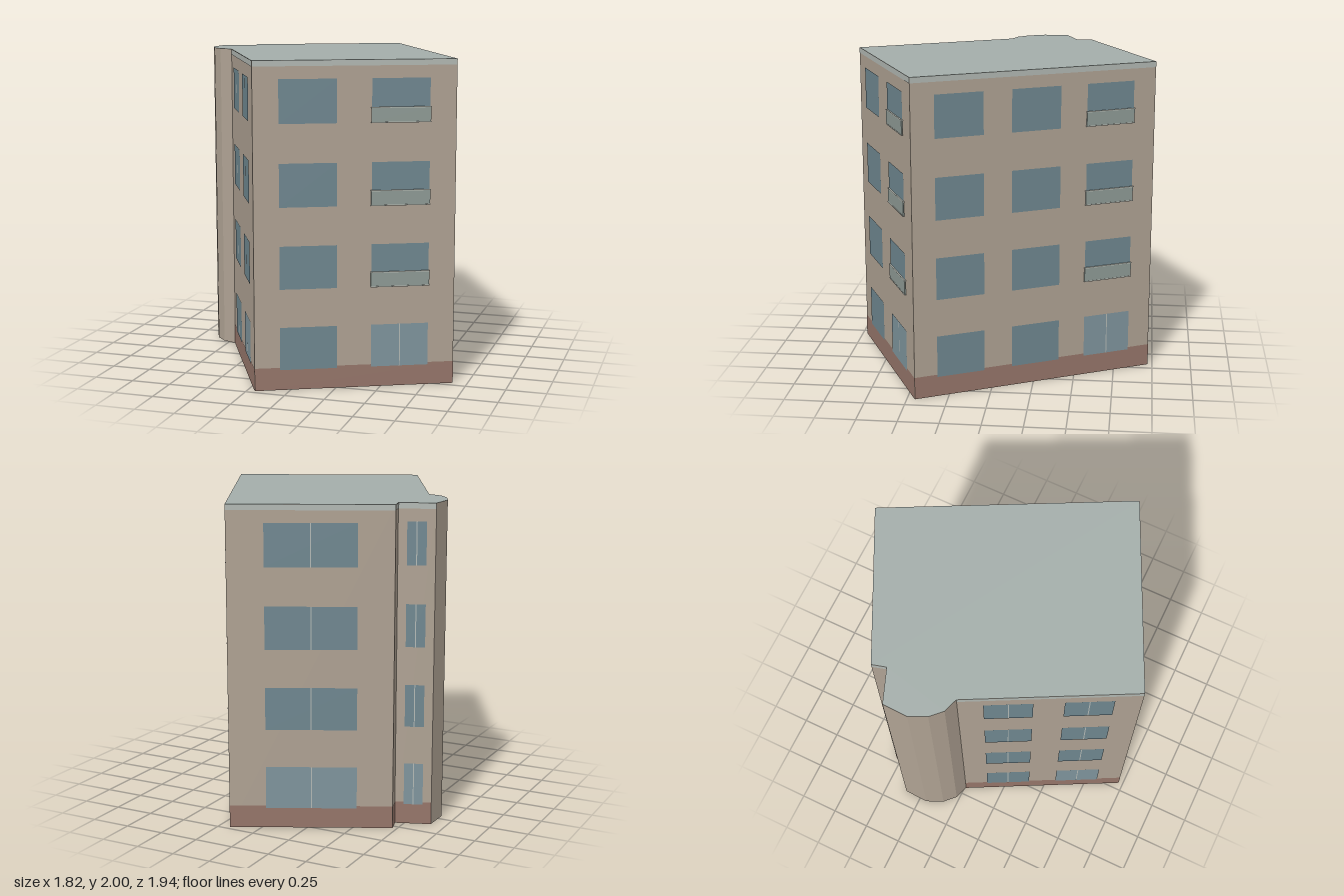
import * as THREE from 'three';

const HEIGHT = 2, STOREY = 0.5;
const mat = (color, side = THREE.FrontSide) =>
  new THREE.MeshStandardMaterial({ color, side, flatShading: true });

// Plan corners [x, z], anticlockwise seen from above
const PLAN = [
  [-0.2, 0.97], [0.91, 0.45], [0.18, -0.97], [-0.72, -0.53], [-0.695, -0.44],
  [-0.905, -0.36], [-0.91, -0.2], [-0.86, -0.09], [-0.79, -0.02], [-0.7, 0.01],
];

// Facades by starting corner; openings are [from, to, kind] as fractions of the wall length
const FACADES = {
  0: [[0.126, 0.41, 'plain'], [0.581, 0.868, 'balcony']],
  1: [[0.092, 0.286, 'plain'], [0.4, 0.6, 'plain'], [0.71, 0.907, 'balcony']],
  2: [[0.225, 0.78, 'door']],
  3: [],
  4: [[0.24, 0.76, 'door']],
  9: [[0.14, 0.41, 'split'], [0.58, 0.85, 'door']],
};

export function createModel() {
  const model = new THREE.Group();
  model.name = 'building';
  const M = {
    wall: mat(0xafa293, THREE.DoubleSide),
    roof: mat(0xa4aeaa, THREE.DoubleSide),
    band: mat(0xb2b8b3),
    plinth: mat(0x96766a),
    window: mat(0x6f8790),
    door: mat(0x7f959d),
    mullion: mat(0xb4bab6),
    railing: mat(0x8f9b96),
    rail: mat(0xbcc0b8),
  };

  // Flat panel or thin box placed by its lower left corner on a facade
  const add = (parent, name, material, x, y, w, h, z, depth = 0) => {
    const geo = depth ? new THREE.BoxGeometry(w, h, depth) : new THREE.PlaneGeometry(w, h);
    const mesh = new THREE.Mesh(geo, material);
    mesh.name = name;
    mesh.position.set(x + w / 2, y + h / 2, z);
    parent.add(mesh);
  };

  // One opening on one floor
  const addOpening = (parent, x, w, floor, kind) => {
    const y = floor * STOREY + 0.126, h = 0.264;
    const isDoor = floor === 0 && (kind === 'door' || kind === 'balcony');
    add(parent, isDoor ? 'door' : 'window', isDoor ? M.door : M.window, x, y, w, h, 0.004);
    if (kind === 'split' || kind === 'door' || isDoor)
      add(parent, 'mullion', M.mullion, x + w / 2 - 0.003, y, 0.006, h, 0.005);
    if (kind === 'balcony' && floor > 0) {
      add(parent, 'balconyPanel', M.railing, x - 0.004, y + 0.004, w + 0.008, 0.084, 0.007, 0.008);
      for (const dy of [-0.001, 0.088])
        add(parent, 'balconyRail', M.rail, x - 0.006, y + dy, w + 0.012, 0.006, 0.007, 0.012);
    }
  };

  // Walls, with plinth, top band and openings on the decorated facades
  PLAN.forEach(([x0, z0], i) => {
    const [x1, z1] = PLAN[(i + 1) % PLAN.length];
    const length = Math.hypot(x1 - x0, z1 - z0);
    const facade = new THREE.Group();
    facade.name = FACADES[i] ? 'facade' : 'bayWall';
    facade.position.set(x0, 0, z0);
    facade.rotation.y = Math.atan2(z0 - z1, x1 - x0);
    model.add(facade);
    add(facade, 'wall', M.wall, 0, 0, length, HEIGHT, 0);
    if (!FACADES[i]) return;
    add(facade, 'plinth', M.plinth, 0, 0, length, 0.14, 0.002);
    add(facade, 'roofBand', M.band, 0, HEIGHT - 0.035, length, 0.035, 0.002);
    for (const [from, to, kind] of FACADES[i])
      for (let floor = 0; floor < 4; floor++)
        addOpening(facade, from * length, (to - from) * length, floor, kind);
  });

  // Flat roof over the whole plan
  const outline = new THREE.Shape(PLAN.map(([x, z]) => new THREE.Vector2(x, -z)));
  const roof = new THREE.Mesh(new THREE.ShapeGeometry(outline), M.roof);
  roof.name = 'roof';
  roof.rotation.x = -Math.PI / 2;
  roof.position.y = HEIGHT;
  model.add(roof);

  return model;
}
